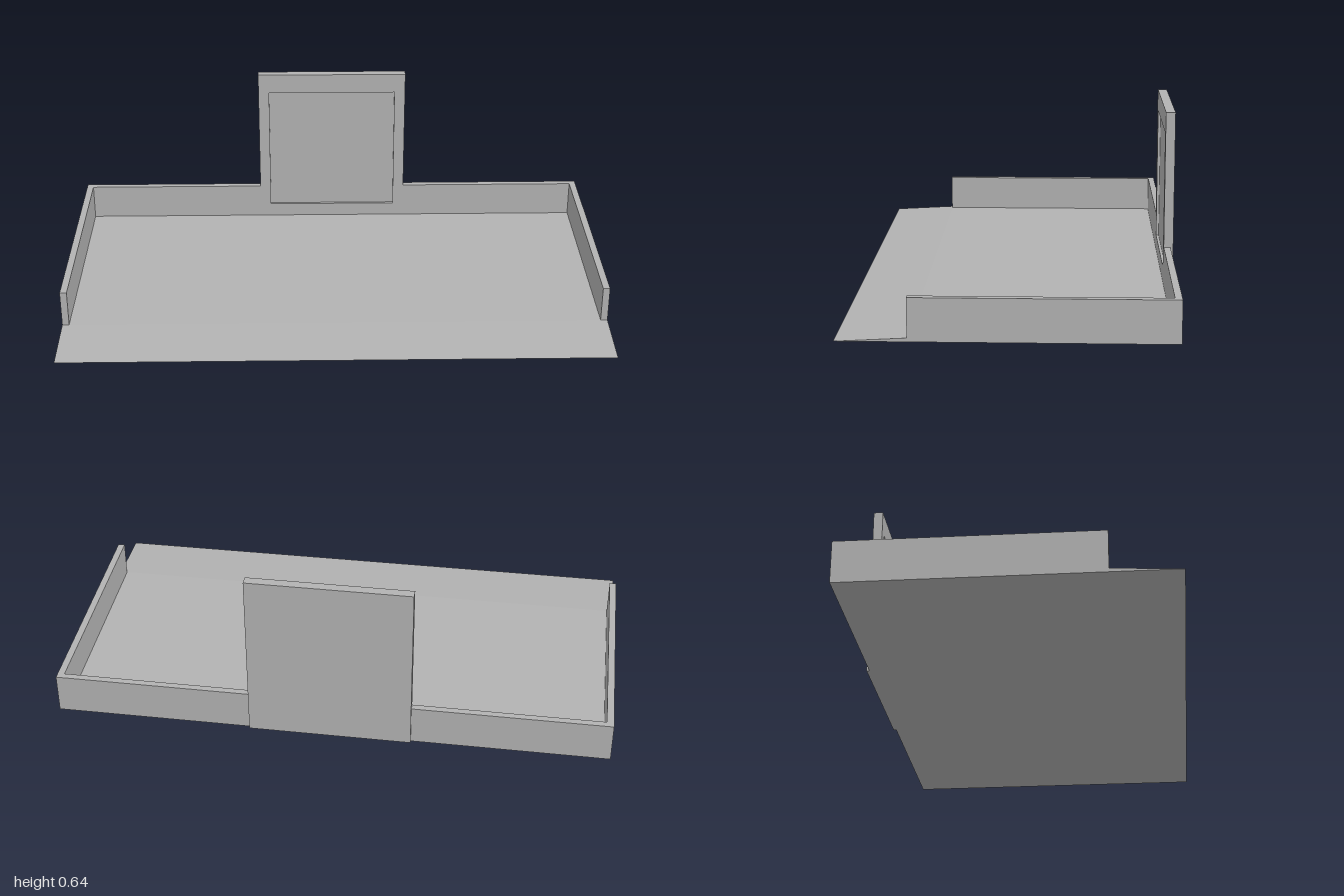
import * as THREE from 'three';

const W = 1;            // half width
const T = 0.025;        // wall thickness
const WALL_H = 0.147;
const BACK = -0.556;    // outer face of the rear wall
const INNER = -0.532;   // inner face of the rear wall
const LIP = 0.325;      // where the side walls end
const FRONT = 0.562;    // tip of the ramp
const FLOOR = 0.013;

export function createModel() {
  const grey = new THREE.MeshStandardMaterial({ color: 0xb2b2b2 });
  grey.name = 'plain grey';
  const model = new THREE.Group();
  model.name = 'tray';

  const add = (name, geometry) => {
    const mesh = new THREE.Mesh(geometry, grey);
    mesh.name = name;
    model.add(mesh);
    return mesh;
  };
  // Box given by its limits on each axis
  const box = (name, x0, x1, y0, y1, z0, z1) =>
    add(name, new THREE.BoxGeometry(x1 - x0, y1 - y0, z1 - z0))
      .position.set((x0 + x1) / 2, (y0 + y1) / 2, (z0 + z1) / 2);

  // Floor between the walls
  box('floor', -W + T, W - T, 0, FLOOR, INNER, LIP);

  // Thin wedge sloping down to the front edge
  const wedge = new THREE.Shape([
    new THREE.Vector2(-FRONT, 0), new THREE.Vector2(-LIP, 0), new THREE.Vector2(-LIP, FLOOR),
  ]);
  const ramp = new THREE.ExtrudeGeometry(wedge, { depth: 2 * W, bevelEnabled: false });
  ramp.rotateY(Math.PI / 2).translate(-W, 0, 0);
  add('ramp', ramp);

  // Side walls and the two halves of the rear wall
  const half = 0.292;   // half width of the backboard
  box('leftWall', W - T, W, 0, WALL_H, BACK, LIP);
  box('rightWall', -W, -W + T, 0, WALL_H, BACK, LIP);
  box('rearWallLeft', half, W - T, 0, WALL_H, BACK, INNER);
  box('rearWallRight', -W + T, -half, 0, WALL_H, BACK, INNER);

  // Backboard: a plate with a raised frame around a shallow recess
  const top = 0.637, recess = 0.01;
  box('backboardPlate', -half, half, 0, top, -0.566, INNER - recess);
  const rect = (Kind, w, y0, y1) => new Kind([
    new THREE.Vector2(-w, y0), new THREE.Vector2(w, y0),
    new THREE.Vector2(w, y1), new THREE.Vector2(-w, y1),
  ]);
  const frame = rect(THREE.Shape, half, 0, top);
  frame.holes.push(rect(THREE.Path, 0.25, 0.065, 0.56));
  add('backboardFrame', new THREE.ExtrudeGeometry(frame, { depth: recess, bevelEnabled: false }))
    .position.z = INNER - recess;

  return model;
}
